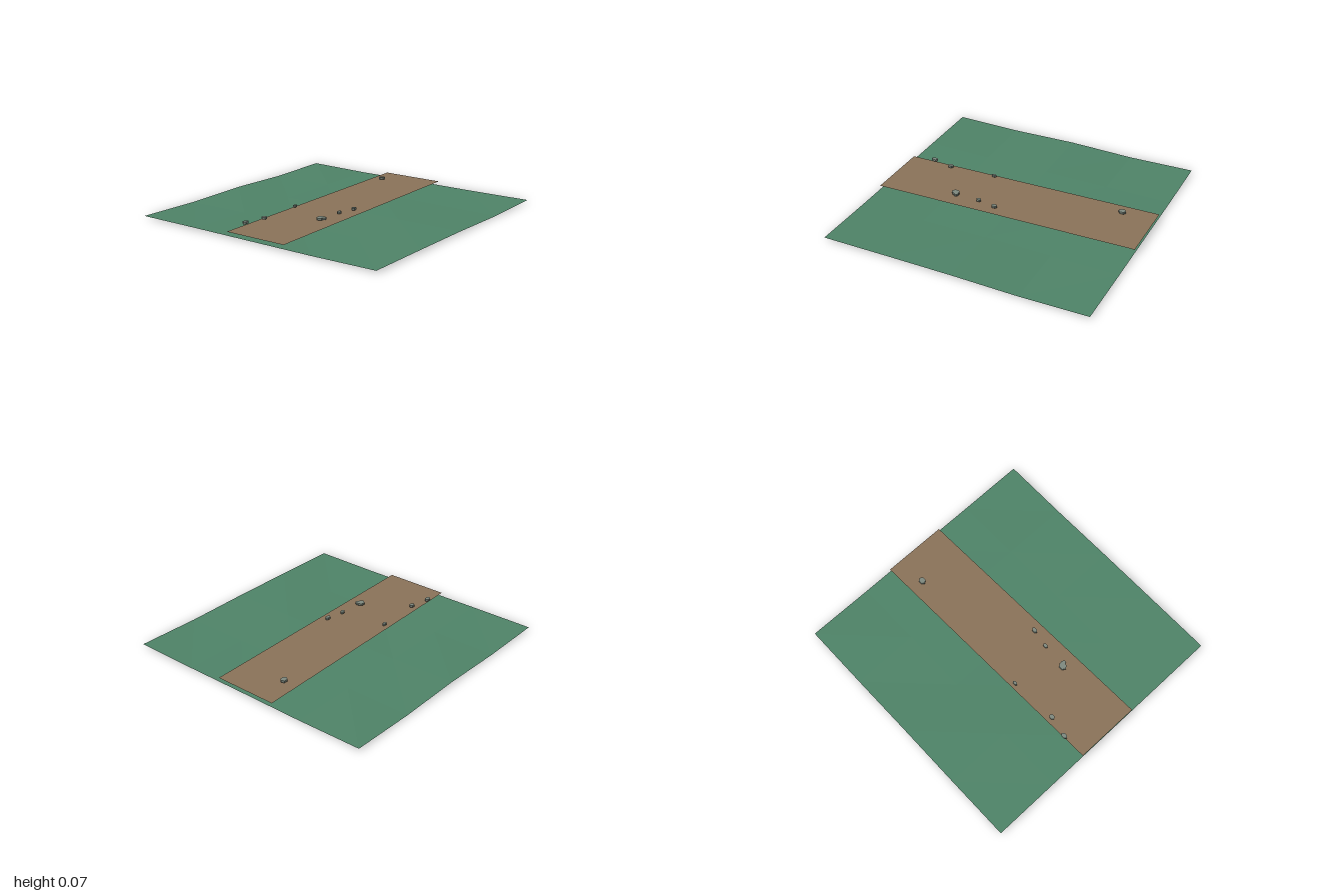
import * as THREE from 'three';

const material = (color) =>
  new THREE.MeshStandardMaterial({ color, flatShading: true, side: THREE.DoubleSide });

// Ground heights in thousandths of a unit: rows run back to front, columns -x to +x
const HEIGHTS = [
  [12, 4, 14, 3, 13],
  [12, 8, 8, 6, 6],
  [10, 0, 8, 8, 8],
  [8, 6, 10, 6, 8],
  [12, 13, 12, 4, 12],
];

// Stones: x, z, width, depth
const STONES = [
  [-0.81, -0.212, 0.052, 0.03],
  [-0.652, -0.18, 0.044, 0.03],
  [-0.29, -0.198, 0.04, 0.02],
  [0.76, -0.156, 0.056, 0.04],
  [-0.432, 0.14, 0.062, 0.046],
  [-0.418, 0.156, 0.036, 0.042],
  [-0.233, 0.157, 0.04, 0.024],
  [-0.094, 0.183, 0.046, 0.028],
];

export function createModel() {
  const model = new THREE.Group();
  model.name = 'pathTile';

  // Gently uneven grass
  const groundGeometry = new THREE.PlaneGeometry(2, 2, 4, 4).rotateX(-Math.PI / 2);
  const groundPoints = groundGeometry.attributes.position;
  HEIGHTS.flat().forEach((h, i) => groundPoints.setY(i, h / 1000));
  groundGeometry.computeVertexNormals();
  const ground = new THREE.Mesh(groundGeometry, material(0x4f8468));
  ground.name = 'ground';
  model.add(ground);

  // Flat dirt strip just above the grass, slightly skewed across the tile
  const pathGeometry = new THREE.PlaneGeometry(2, 0.49).rotateX(-Math.PI / 2);
  const pathPoints = pathGeometry.attributes.position;
  for (let i = 0; i < pathPoints.count; i++) {
    pathPoints.setZ(i, pathPoints.getZ(i) + 0.005 - 0.027 * pathPoints.getX(i));
  }
  const path = new THREE.Mesh(pathGeometry, material(0x8b7359));
  path.name = 'dirtPath';
  path.position.y = 0.038;
  model.add(path);

  // Flat six-sided stones along both sides of the path
  const stones = new THREE.Group();
  stones.name = 'stones';
  const stoneGeometry = new THREE.CylinderGeometry(0.5, 0.5, 1, 6).rotateY(Math.PI / 6);
  const stoneMaterial = material(0x7f8a80);
  STONES.forEach(([x, z, width, depth], i) => {
    const stone = new THREE.Mesh(stoneGeometry, stoneMaterial);
    stone.name = `stone${i + 1}`;
    stone.position.set(x, 0.058, z);
    stone.scale.set(width, 0.016, depth * 1.155);
    stones.add(stone);
  });
  // Corners point along x
  stoneGeometry.scale(1, 1, 1);
  model.add(stones);

  return model;
}
